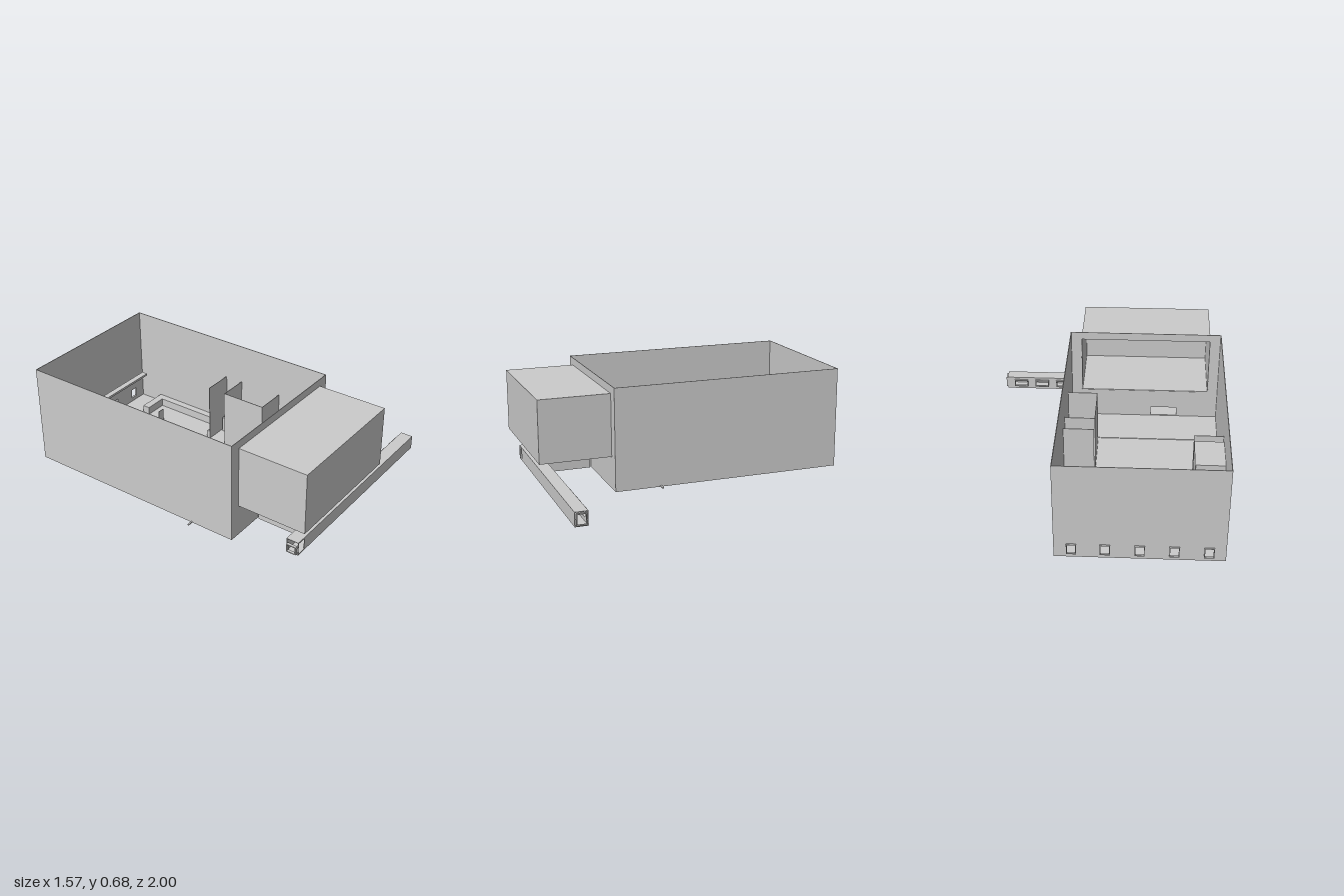
import * as THREE from 'three';

const T = 0.004; // sheet wall thickness
const mat = new THREE.MeshStandardMaterial({ color: 0xcccccc, flatShading: true, side: THREE.DoubleSide });

function add(parent, name, geometry) {
  const mesh = new THREE.Mesh(geometry, mat);
  mesh.name = name;
  parent.add(mesh);
  return mesh;
}

// box given by its limits on each axis
function block(parent, name, [x0, x1], [y0, y1], [z0, z1]) {
  const m = add(parent, name, new THREE.BoxGeometry(x1 - x0, y1 - y0, z1 - z0));
  m.position.set((x0 + x1) / 2, (y0 + y1) / 2, (z0 + z1) / 2);
  return m;
}

function rect(Type, [a, b], [c, d]) {
  return new Type([[a, c], [b, c], [b, d], [a, d]].map(p => new THREE.Vector2(...p)));
}

// upright panel facing z, with rectangular holes [[x0, x1], [y0, y1]]
function panelZ(parent, name, xs, ys, z, holes = [], depth = T) {
  const s = rect(THREE.Shape, xs, ys);
  s.holes = holes.map(h => rect(THREE.Path, ...h));
  const m = add(parent, name, new THREE.ExtrudeGeometry(s, { depth, bevelEnabled: false }));
  m.position.z = z;
  return m;
}

// rectangular frame facing z
function frameZ(parent, name, [x0, x1], [y0, y1], z, depth, w = 0.006) {
  return panelZ(parent, name, [x0, x1], [y0, y1], z, [[[x0 + w, x1 - w], [y0 + w, y1 - w]]], depth);
}

// rectangular frame facing x
function frameX(parent, name, x, [y0, y1], [z0, z1], depth) {
  const m = frameZ(parent, name, [-z1, -z0], [y0, y1], 0, depth);
  m.rotation.y = Math.PI / 2;
  m.position.set(x, 0, 0);
  return m;
}

export function createModel() {
  const g = new THREE.Group();
  g.name = 'hallBuilding';
  const X = [-0.745, 0.275], Y = [0.013, 0.675], Z = [-0.99, 0.54];
  const stageX = [-0.675, 0.203], stageY = [0.22, 0.625];
  const linkX = [-0.48, -0.26];

  // open-topped hall
  const hall = new THREE.Group();
  hall.name = 'hall';
  g.add(hall);
  block(hall, 'hallFloor', X, [0.011, 0.016], Z);
  for (const x of [X[0], X[1] - T]) block(hall, 'sideWall', [x, x + T], Y, Z);
  panelZ(hall, 'frontWall', X, Y, Z[1] - T, [[stageX, stageY], [[linkX[0] + 0.02, linkX[1] - 0.02], [0.02, 0.09]]]);
  const windows = [-0.645, -0.44, -0.235, -0.03, 0.17].map(x => [[x - 0.03, x + 0.03], [0.037, 0.11]]);
  panelZ(hall, 'backWall', X, Y, Z[0], windows);
  for (const [wx, wy] of windows) frameZ(hall, 'backWindowFrame', wx, wy, -1, 0.014, 0.005);

  // projecting stage box, open toward the hall
  const stage = new THREE.Group();
  stage.name = 'stage';
  g.add(stage);
  const SZ = [0.538, 1];
  for (const y of [stageY[0], stageY[1] - T]) block(stage, 'stageSlab', stageX, [y, y + T], SZ);
  for (const x of [stageX[0], stageX[1] - T]) block(stage, 'stageSide', [x, x + T], stageY, SZ);
  panelZ(stage, 'stageFront', stageX, stageY, 1 - T);

  // long low corridor, open at both ends
  const cor = new THREE.Group();
  cor.name = 'corridor';
  g.add(cor);
  const CX = [-0.64, 0.775], CY = [0.013, 0.104], CZ = [0.858, 0.94];
  for (const y of [CY[0], CY[1] - T]) block(cor, 'corridorSlab', CX, [y, y + T], CZ);
  panelZ(cor, 'corridorFront', CX, CY, CZ[1] - T, [[[-0.634, -0.573], [0.02, 0.095]]]);
  const openings = [0.32, 0.473, 0.625].map(x => [[x, x + 0.097], [0.035, 0.088]]);
  panelZ(cor, 'corridorBack', CX, CY, CZ[0], [...openings, [[linkX[0] + 0.01, linkX[1] - 0.01], [0.02, 0.095]]]);
  for (const [ox, oy] of openings) frameZ(cor, 'corridorWindowFrame', ox, oy, 0.845, 0.017);
  frameX(cor, 'endFrame', 0.77, [0.02, 0.095], [0.866, 0.932], 0.015);
  frameX(cor, 'endFrame', -0.655, [0.02, 0.075], [0.866, 0.932], 0.018);

  // passage joining corridor and hall
  const link = new THREE.Group();
  link.name = 'passage';
  g.add(link);
  for (const y of [0.013, 0.096]) block(link, 'passageSlab', linkX, [y, y + T], [0.552, 0.86]);
  for (const x of [linkX[0], linkX[1] - T]) block(link, 'passageSide', [x, x + T], [0.013, 0.1], [0.552, 0.86]);
  frameZ(link, 'passageFrame', [linkX[0] + 0.012, linkX[1] - 0.012], [0.016, 0.092], 0.536, 0.018);

  // rooms along the right-hand wall
  const rooms = new THREE.Group();
  rooms.name = 'sideRooms';
  g.add(rooms);
  const H = [0.014, 0.41], RX = [X[0], -0.555];
  for (const z of [-0.275, -0.825]) panelZ(rooms, 'partition', RX, H, z);
  block(rooms, 'closedRoom', RX, H, [-0.585, -0.335]);
  block(rooms, 'roomWall', [RX[1] - T, RX[1]], H, [-0.825, -0.585]);
  block(rooms, 'roomDoor', [-0.554, -0.546], [0.014, 0.12], [-0.52, -0.34]);

  // rooms and bench along the left-hand wall
  const LX = [0.075, X[1]];
  panelZ(rooms, 'partition', LX, H, -0.235);
  for (const z of [-0.11, 0.19]) panelZ(rooms, 'roomEndWall', LX, H, z);
  block(rooms, 'roomWall', [LX[0], LX[0] + T], H, [-0.11, 0.19]);
  block(rooms, 'lowCupboard', [0.205, X[1]], [0.014, 0.12], [-0.22, -0.115]);
  block(rooms, 'bench', [0.225, X[1]], [0.014, 0.07], [-0.77, -0.255]);
  for (const z of [[-0.82, -0.77], [-0.255, -0.232]]) block(rooms, 'benchEnd', LX, [0.014, 0.07], z);

  // shelf over the back windows, low screens and steps
  block(g, 'backShelf', stageX, [0.235, 0.25], [-0.925, -0.885]);
  for (const [a, b] of [[-0.54, -0.48], [-0.39, -0.28], [-0.18, -0.07], [0.02, 0.07]])
    block(g, 'lowScreen', [a, b], [0.014, 0.11], [-0.637, -0.633]);
  block(g, 'stageStep', [0.205, X[1]], [0.014, 0.06], [0.235, 0.535]);

  // cross bar through the floor and runners below it
  block(g, 'crossBar', [-0.785, 0.318], [0.013, 0.02], [0.238, 0.248]);
  block(g, 'underRunner', [-0.49, 0.2], [0.003, 0.012], [-0.89, -0.88]);
  block(g, 'underRunner', [-0.19, 0.02], [0, 0.012], [-0.62, -0.605]);
  return g;
}
